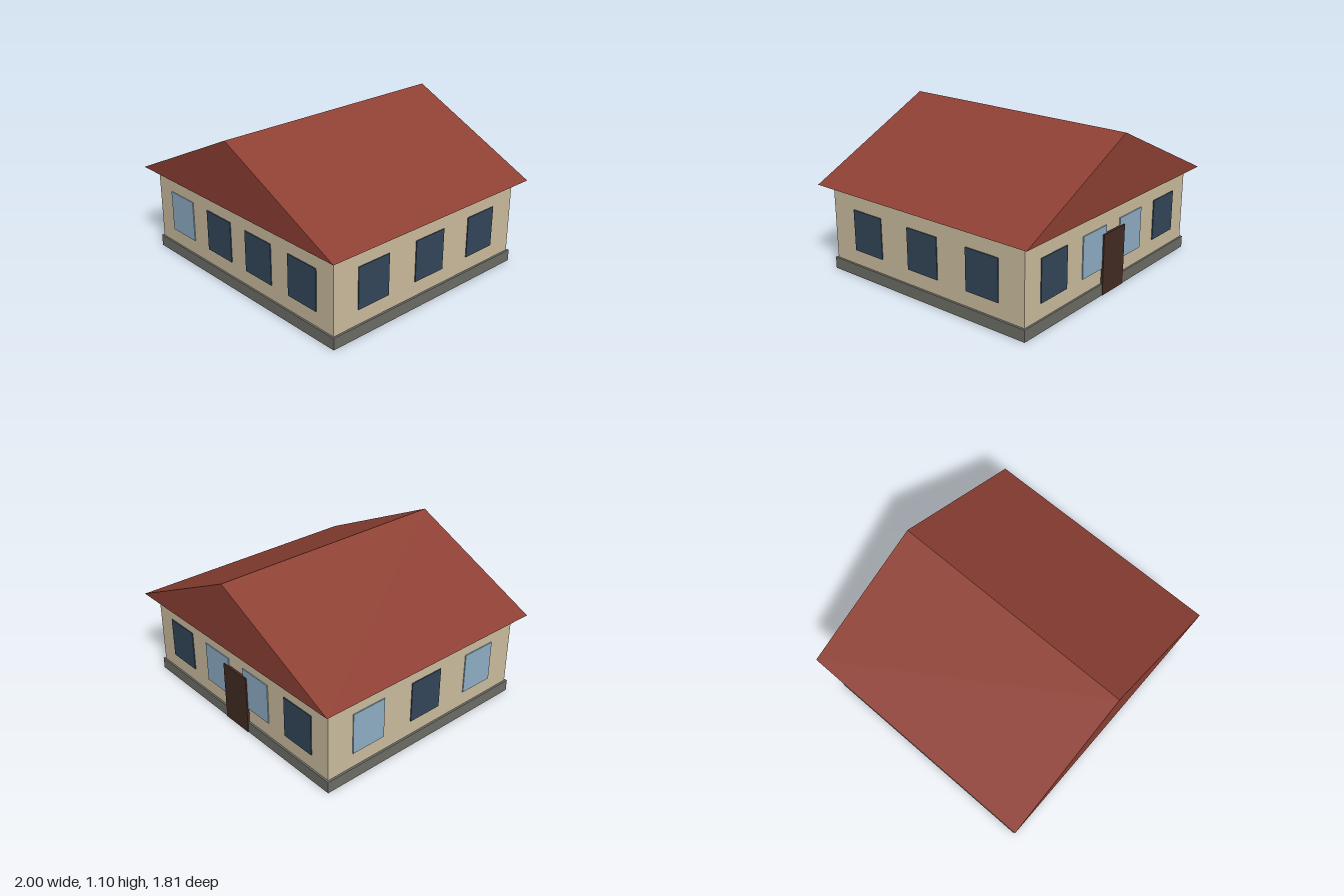
import * as THREE from 'three';

const mat = (name, color) => {
  const m = new THREE.MeshStandardMaterial({ color });
  m.name = name;
  return m;
};

export function createModel() {
  const house = new THREE.Group();
  house.name = 'house';
  const wall = mat('cream wall', 0xcdbea0);
  const stone = mat('grey stone', 0x6e6e68);
  const tile = mat('red roof', 0x8e4034);
  const dark = mat('dark glass', 0x34475a);
  const light = mat('light glass', 0x90b0c8);
  const wood = mat('brown door', 0x442c24);

  const box = (name, material, size, pos, parent = house) => {
    const m = new THREE.Mesh(new THREE.BoxGeometry(...size), material);
    m.name = name;
    m.position.set(...pos);
    parent.add(m);
    return m;
  };

  // Base and walls
  box('foundation', stone, [1.878, 0.083, 1.696], [0, 0.0415, 0]);
  box('walls', wall, [1.848, 0.543, 1.67], [0, 0.3515, 0]);

  // Gable roof: a solid triangular prism running along z
  const gable = new THREE.Shape([
    new THREE.Vector2(-1, 0),
    new THREE.Vector2(1, 0),
    new THREE.Vector2(0, 0.473),
  ]);
  const roof = new THREE.Mesh(
    new THREE.ExtrudeGeometry(gable, { depth: 1.814, bevelEnabled: false }),
    tile
  );
  roof.name = 'roof';
  roof.position.set(0, 0.623, -0.907);
  house.add(roof);

  // Windows: each side is a group turned to face outwards, listed left to right as seen from outside
  const long = [-0.64, -0.21, 0.21, 0.64];
  const short = [-0.505, 0, 0.505];
  const sides = [
    ['front', 0, 0.835, long, [light, dark, dark, dark]],
    ['back', Math.PI, 0.835, long, [dark, light, light, dark]],
    ['left', Math.PI / 2, 0.924, short, [dark, dark, dark]],
    ['right', -Math.PI / 2, 0.924, short, [light, dark, light]],
  ];
  for (const [name, turn, distance, offsets, panes] of sides) {
    const group = new THREE.Group();
    group.name = name + 'Windows';
    group.rotation.y = turn;
    offsets.forEach((x, i) =>
      box('window', panes[i], [0.262, 0.294, 0.008], [x, 0.337, distance + 0.003], group)
    );
    house.add(group);
  }

  // Back door, reaching down over the foundation
  box('door', wood, [0.245, 0.43, 0.02], [0, 0.215, -0.842]);

  return house;
}
